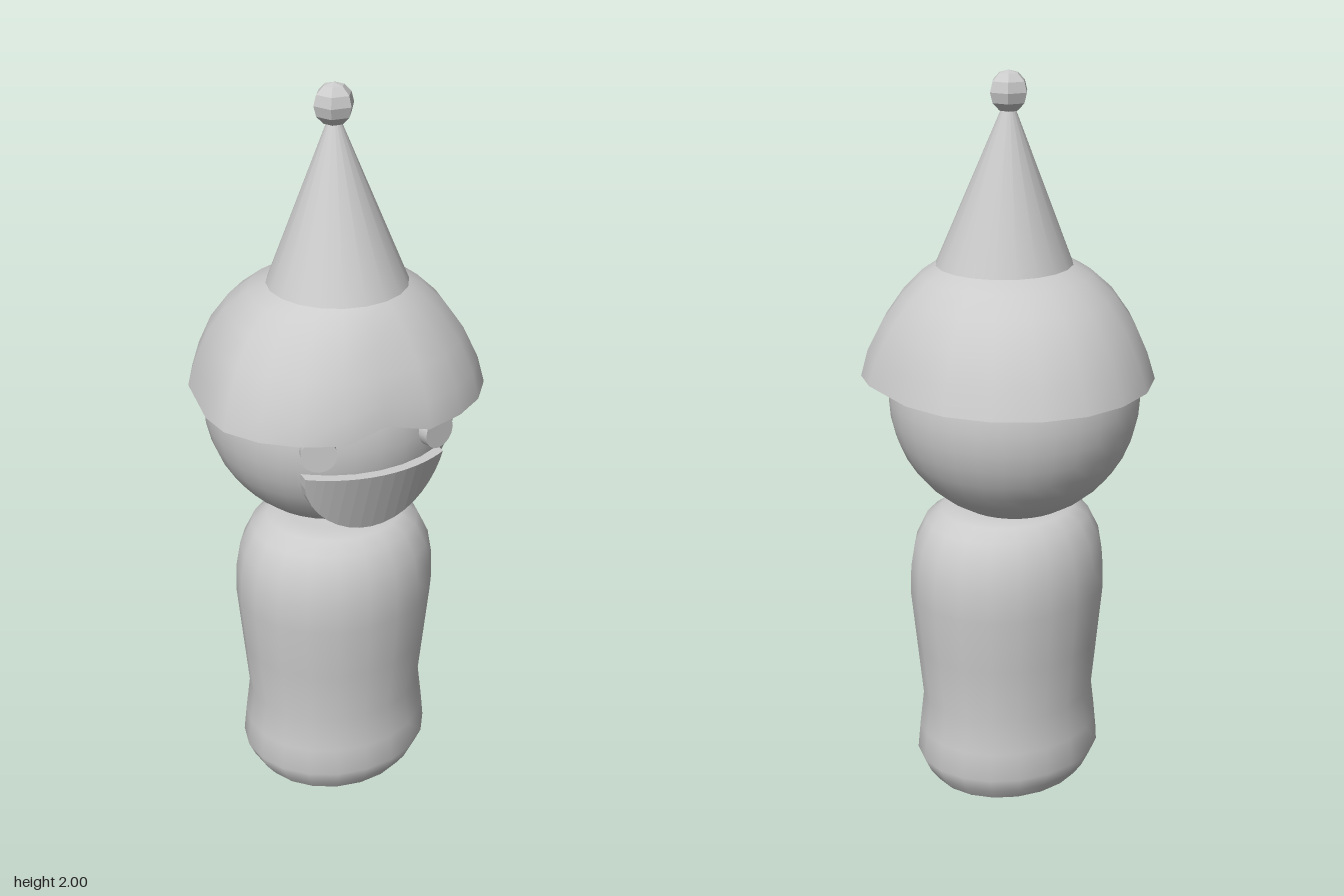
import * as THREE from 'three';

const material = new THREE.MeshStandardMaterial({ color: 0xcccccc });

function add(group, name, geometry, x = 0, y = 0, z = 0) {
  const mesh = new THREE.Mesh(geometry, material);
  mesh.name = name;
  mesh.position.set(x, y, z);
  group.add(mesh);
  return mesh;
}

// Skin over closed rings of points, from the first ring to the last
function loft(rings) {
  const n = rings[0].length, index = [];
  for (let r = 0; r < rings.length - 1; r++) {
    for (let i = 0; i < n; i++) {
      const a = r * n + i, b = r * n + (i + 1) % n;
      index.push(a, a + n, b, b, a + n, b + n);
    }
  }
  const g = new THREE.BufferGeometry();
  g.setAttribute('position', new THREE.Float32BufferAttribute(rings.flat(2), 3));
  g.setIndex(index);
  g.computeVertexNormals();
  return g;
}

// Half outline of the hat's brim, back to front
const BRIM = [[0, -0.375], [0.115, -0.355], [0.225, -0.297], [0.31, -0.205], [0.36, -0.09],
  [0.377, 0.1], [0.36, 0.19], [0.3, 0.273], [0.217, 0.333], [0.113, 0.373], [0, 0.36]];
const SIDES = 20;

// Hat ring: brim outline scaled and blended into a circle; notch lifts the front point
function hatRing(scale, y, shift, blend, notch = 0) {
  return Array.from({ length: SIDES }, (_, i) => {
    const [bx, bz] = BRIM[i <= 10 ? i : SIDES - i];
    const a = i / SIDES * Math.PI * 2;
    const x = THREE.MathUtils.lerp(i <= 10 ? bx : -bx, 0.375 * Math.sin(a), blend);
    const z = THREE.MathUtils.lerp(bz, -0.37 * Math.cos(a), blend);
    return [x * scale, y + (i === 10 ? notch : 0), z * scale + shift];
  });
}

// Smile: a half disc wrapped around the face
function mouthGeometry() {
  const g = new THREE.BoxGeometry(2, 2, 2, 18, 1, 1);
  const p = g.attributes.position;
  for (let i = 0; i < p.count; i++) {
    const a = p.getX(i) * Math.PI / 2;
    const x = 0.19 * Math.sin(a);
    const drop = p.getY(i) > 0 ? 0 : 0.19 * Math.cos(a);
    const z = Math.sqrt(0.355 ** 2 - x * x) - 0.37 * drop - (p.getZ(i) > 0 ? 0 : 0.06);
    p.setXYZ(i, x, 1.095 - drop, z);
  }
  const flat = g.toNonIndexed();
  flat.computeVertexNormals();
  return flat;
}

export function createModel() {
  const model = new THREE.Group();
  model.name = 'pegFigure';

  // Body: oval turned peg with a flat base
  const profile = [[0.225, 0], [0.25, 0.035], [0.27, 0.08], [0.262, 0.16], [0.25, 0.26], [0.265, 0.42],
    [0.28, 0.58], [0.277, 0.66], [0.265, 0.73], [0.233, 0.795], [0.19, 0.823], [0.14, 0.835], [0, 0.84]];
  const body = add(model, 'body',
    new THREE.LatheGeometry(profile.map(([r, y]) => new THREE.Vector2(r, y)), 20), 0, 0, 0.04);
  body.scale.z = 0.875;
  const base = add(model, 'bodyBase', new THREE.CircleGeometry(0.225, 20), 0, 0, 0.035);
  base.rotation.x = Math.PI / 2;
  base.scale.y = 0.875;

  // Head
  add(model, 'head', new THREE.SphereGeometry(0.335, 32, 20), 0, 1.157, 0);

  // Face
  for (const side of [-1, 1]) {
    const eye = add(model, side > 0 ? 'leftEye' : 'rightEye',
      new THREE.CylinderGeometry(0.046, 0.046, 0.03, 16).rotateX(Math.PI / 2), side * 0.16, 1.17, 0.312);
    eye.rotation.y = side * 0.3;
  }
  add(model, 'mouth', mouthGeometry());

  // Hat: rim underside, dome, cone and bobble
  const hat = new THREE.Group();
  hat.name = 'hat';
  model.add(hat);
  const rim = hatRing(1, 1.21, 0, 0, 0.025);
  const top = hatRing(0.485, 1.503, 0.055, 1);
  add(hat, 'hatRim', loft([hatRing(0.86, 1.225, 0, 0, 0.025), rim]));
  add(hat, 'hatDome', loft([
    rim,
    hatRing(0.955, 1.28, 0.01, 0.15, 0.012),
    hatRing(0.865, 1.36, 0.015, 0.35),
    hatRing(0.74, 1.43, 0.025, 0.6),
    hatRing(0.6, 1.48, 0.04, 0.8),
    top,
  ]));
  add(hat, 'hatCone', loft([top, hatRing(0.015, 1.935, 0.03, 1)]));
  add(hat, 'hatBobble', new THREE.SphereGeometry(0.053, 6, 6).toNonIndexed(), 0, 1.947, 0.03)
    .geometry.computeVertexNormals();

  return model;
}
